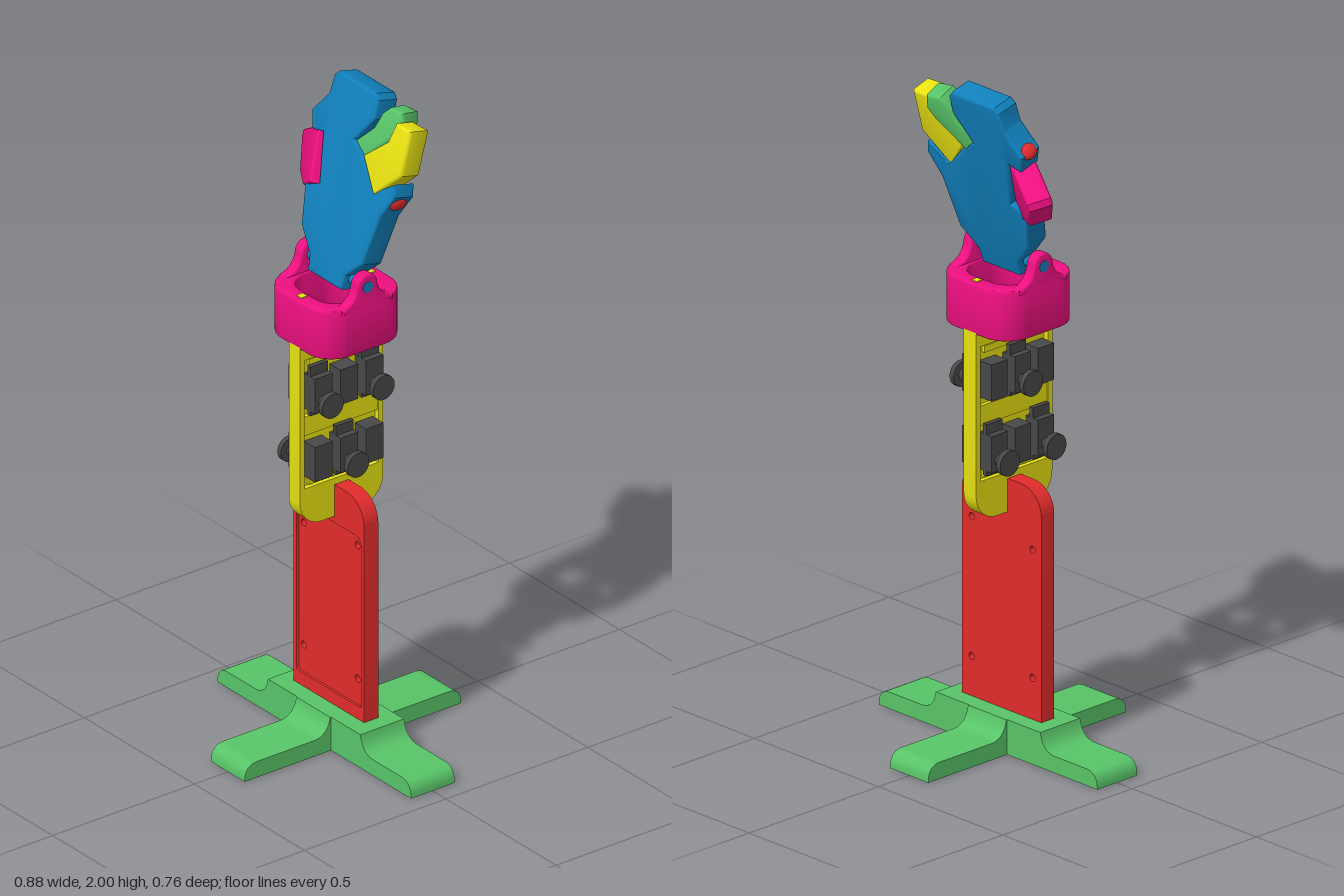
import * as THREE from 'three';
import { toCreasedNormals } from 'three/addons/utils/BufferGeometryUtils.js';

const mat = (color) => new THREE.MeshStandardMaterial({ color });
const green = mat(0x58c468), red = mat(0xe22c2c), yellow = mat(0xe8e212),
  pink = mat(0xee1080), blue = mat(0x1080bc), dark = mat(0x484848);

function add(parent, name, geometry, material, x = 0, y = 0, z = 0) {
  const mesh = new THREE.Mesh(geometry, material);
  mesh.name = name;
  mesh.position.set(x, y, z);
  parent.add(mesh);
  return mesh;
}

const box = (w, h, d) => new THREE.BoxGeometry(w, h, d);
const polygon = (pts) => new THREE.Shape(pts.map(([x, y]) => new THREE.Vector2(x, y)));

// Extrusion centred on its depth, with an optional edge bevel kept inside the outline
function slab(shape, depth, bevel = 0) {
  const g = new THREE.ExtrudeGeometry(shape, {
    depth: depth - 2 * bevel, bevelEnabled: bevel > 0, bevelThickness: bevel,
    bevelSize: bevel, bevelOffset: -bevel, bevelSegments: 3, curveSegments: 10,
  });
  g.translate(0, 0, -depth / 2 + bevel);
  return toCreasedNormals(g, 0.6);
}

// Rounded rectangle with separate lower and upper corner radii
function roundRect(x0, y0, x1, y1, rb, rt, Type = THREE.Shape) {
  const s = new Type();
  s.moveTo(x0 + rb, y0);
  s.lineTo(x1 - rb, y0);
  if (rb) s.absarc(x1 - rb, y0 + rb, rb, -Math.PI / 2, 0);
  s.lineTo(x1, y1 - rt);
  if (rt) s.absarc(x1 - rt, y1 - rt, rt, 0, Math.PI / 2);
  s.lineTo(x0 + rt, y1);
  if (rt) s.absarc(x0 + rt, y1 - rt, rt, Math.PI / 2, Math.PI);
  s.lineTo(x0, y0 + rb);
  if (rb) s.absarc(x0 + rb, y0 + rb, rb, Math.PI, Math.PI * 1.5);
  return s;
}

// Foot bar profile: raised middle, hollow fillets, rounded ends
function footProfile(reach, middle) {
  const s = new THREE.Shape();
  s.moveTo(-reach, 0);
  s.lineTo(reach, 0);
  s.quadraticCurveTo(reach, 0.05, reach - 0.045, 0.05);
  s.lineTo(middle + 0.055, 0.05);
  s.quadraticCurveTo(middle + 0.01, 0.052, middle, 0.105);
  s.lineTo(-middle, 0.105);
  s.quadraticCurveTo(-middle - 0.01, 0.052, -middle - 0.055, 0.05);
  s.lineTo(-reach + 0.045, 0.05);
  s.quadraticCurveTo(-reach, 0.05, -reach, 0);
  return s;
}

function buildStand(root) {
  add(root, 'footBarWide', slab(footProfile(0.44, 0.21), 0.154), green);
  add(root, 'footBarDeep', slab(footProfile(0.382, 0.08), 0.154), green).rotation.y = Math.PI / 2;

  // Upright plate with screw holes and a shallow pocket on the front
  const back = roundRect(-0.16, -0.001, 0.16, 0.8, 0, 0.08);
  const front = roundRect(-0.16, -0.001, 0.16, 0.8, 0, 0.08);
  for (const [x, y] of [[-0.125, 0.615], [0.12, 0.645], [-0.125, 0.23], [0.12, 0.225]])
    back.holes.push(new THREE.Path().absarc(x, y, 0.011, 0, Math.PI * 2));
  front.holes.push(roundRect(-0.147, 0.145, 0.147, 0.68, 0.01, 0.03, THREE.Path));
  add(root, 'uprightPlate', slab(back, 0.042), red, 0, 0, -0.004);
  add(root, 'uprightPocketRim', slab(front, 0.008), red, 0, 0, 0.021);
}

function buildForearm(root) {
  const arm = new THREE.Group();
  arm.name = 'forearm';
  root.add(arm);
  const frame = roundRect(-0.147, 0.7, 0.147, 1.27, 0.08, 0);
  frame.holes.push(roundRect(-0.13, 0.82, 0.13, 1.225, 0, 0, THREE.Path));
  add(arm, 'forearmFrame', slab(frame, 0.05), yellow).rotation.y = Math.PI / 2;
  add(arm, 'forearmWeb', box(0.02, 0.405, 0.26), yellow, 0, 1.0225, 0);
  add(arm, 'middleBar', box(0.044, 0.06, 0.26), yellow, 0, 1.015, 0);
  for (const y of [0.835, 1.21]) add(arm, 'rail', box(0.04, 0.02, 0.22), yellow, 0, y, 0);
  add(arm, 'tongue', box(0.06, 0.06, 0.2), yellow, 0, 1.295, 0);
  for (const z of [-0.12, 0.12]) add(arm, 'peg', box(0.022, 0.15, 0.022), yellow, 0, 1.342, z);

  // Six servos in two rows, alternating the side their horns face
  const disc = new THREE.CylinderGeometry(0.038, 0.038, 0.016, 24).rotateZ(Math.PI / 2);
  const shaft = new THREE.CylinderGeometry(0.018, 0.018, 0.04, 16).rotateZ(Math.PI / 2);
  [[1.1, 1], [0.885, -1]].forEach(([y, rowSide]) => {
    [-0.09, 0, 0.09].forEach((z, i) => {
      const servo = new THREE.Group();
      servo.name = 'servo';
      servo.position.set(0, y, z);
      if (rowSide * (i === 1 ? -1 : 1) < 0) servo.rotation.y = Math.PI;
      add(servo, 'servoBody', box(0.12, 0.11, 0.062), dark, 0, 0.022, 0);
      add(servo, 'servoFlange', box(0.014, 0.155, 0.062), dark, 0.033, 0.03, 0);
      add(servo, 'servoShaft', shaft, dark, 0.07, 0, 0);
      add(servo, 'servoHorn', disc, dark, 0.094, 0, 0);
      arm.add(servo);
    });
  });
}

function buildWrist(root) {
  // Ring cuff
  const ring = roundRect(-0.145, -0.147, 0.145, 0.147, 0.085, 0.085);
  ring.holes.push(roundRect(-0.103, -0.1, 0.103, 0.1, 0.07, 0.07, THREE.Path));
  add(root, 'wristCuff', slab(ring, 0.15, 0.004), pink, 0, 1.34, 0).rotation.x = -Math.PI / 2;

  // Flared hinge ears
  const ear = new THREE.Shape();
  ear.moveTo(-0.09, 1.4);
  ear.lineTo(0.09, 1.4);
  ear.lineTo(0.09, 1.415);
  ear.quadraticCurveTo(0.045, 1.425, 0.036, 1.468);
  ear.absarc(0, 1.468, 0.036, 0, Math.PI);
  ear.quadraticCurveTo(-0.045, 1.425, -0.09, 1.415);
  for (const side of [-1, 1])
    add(root, 'hingeEar', slab(ear, 0.036, 0.006), pink, side * 0.127, 0, 0).rotation.y = Math.PI / 2;
  const pin = new THREE.CylinderGeometry(0.017, 0.017, 0.293, 20).rotateZ(Math.PI / 2);
  add(root, 'hingePin', pin, blue, 0, 1.465, 0);
}

function buildHand(root) {
  const TILT = 0.262, PIVOT = 1.465;
  const hand = new THREE.Group();
  hand.name = 'hand';
  hand.position.y = PIVOT;
  hand.rotation.x = -TILT;
  root.add(hand);
  // Upright heights become distances along the tilted hand
  const along = (y) => (y - PIVOT) / Math.cos(TILT);
  const flat = (pts, x0 = 0, sx = 1) => polygon(pts.map(([x, y]) => [(x - x0) * sx, along(y)]));

  const palm = flat([
    [-0.075, 1.432], [0.075, 1.432], [0.08, 1.475], [0.14, 1.53], [0.17, 1.68], [0.21, 1.75],
    [0.2, 1.785], [0.125, 1.735], [0.04, 1.82], [0, 1.84], [0.06, 1.92], [0.06, 1.975], [0.045, 1.991],
    [-0.125, 1.991], [-0.14, 1.975], [-0.145, 1.92], [-0.2, 1.85], [-0.18, 1.8], [-0.135, 1.81],
    [-0.105, 1.675], [-0.163, 1.66], [-0.14, 1.54], [-0.08, 1.475],
  ]);
  add(hand, 'palm', slab(palm, 0.075, 0.008), blue);

  // Folded fingers and the thumb, each turned slightly about the hand's length
  const digit = (name, pts, material, x0, yaw, z) => {
    const shape = flat(pts, x0, 1 / Math.cos(yaw));
    add(hand, name, slab(shape, 0.072, 0.009), material, x0, 0, z).rotation.y = yaw;
  };
  digit('ringFinger', [[0, 1.84], [0.04, 1.805], [0.125, 1.89], [0.147, 1.925], [0.138, 1.968],
    [0.09, 1.968], [0.068, 1.945], [0.05, 1.895]], green, 0.07, 0.2, -0.01);
  digit('littleFinger', [[0.053, 1.815], [0.125, 1.725], [0.217, 1.815], [0.217, 1.945],
    [0.152, 1.945], [0.135, 1.885]], yellow, 0.14, 0.05, 0.004);
  digit('thumb', [[-0.28, 1.735], [-0.265, 1.715], [-0.225, 1.655], [-0.165, 1.637], [-0.102, 1.67],
    [-0.133, 1.812], [-0.185, 1.8], [-0.275, 1.755]], pink, -0.12, -0.5, 0.018);

  // Knuckle buttons on the palm edges
  const button = new THREE.SphereGeometry(1, 24, 16).scale(0.015, 0.025, 0.029);
  add(hand, 'knuckleButton', button, red, -0.188, along(1.853), 0).rotation.z = -0.7;
  add(hand, 'knuckleButton', button, red, 0.19, along(1.725), 0).rotation.z = -0.45;
}

export function createModel() {
  const root = new THREE.Group();
  root.name = 'handOnStand';
  buildStand(root);
  buildForearm(root);
  buildWrist(root);
  buildHand(root);
  return root;
}
